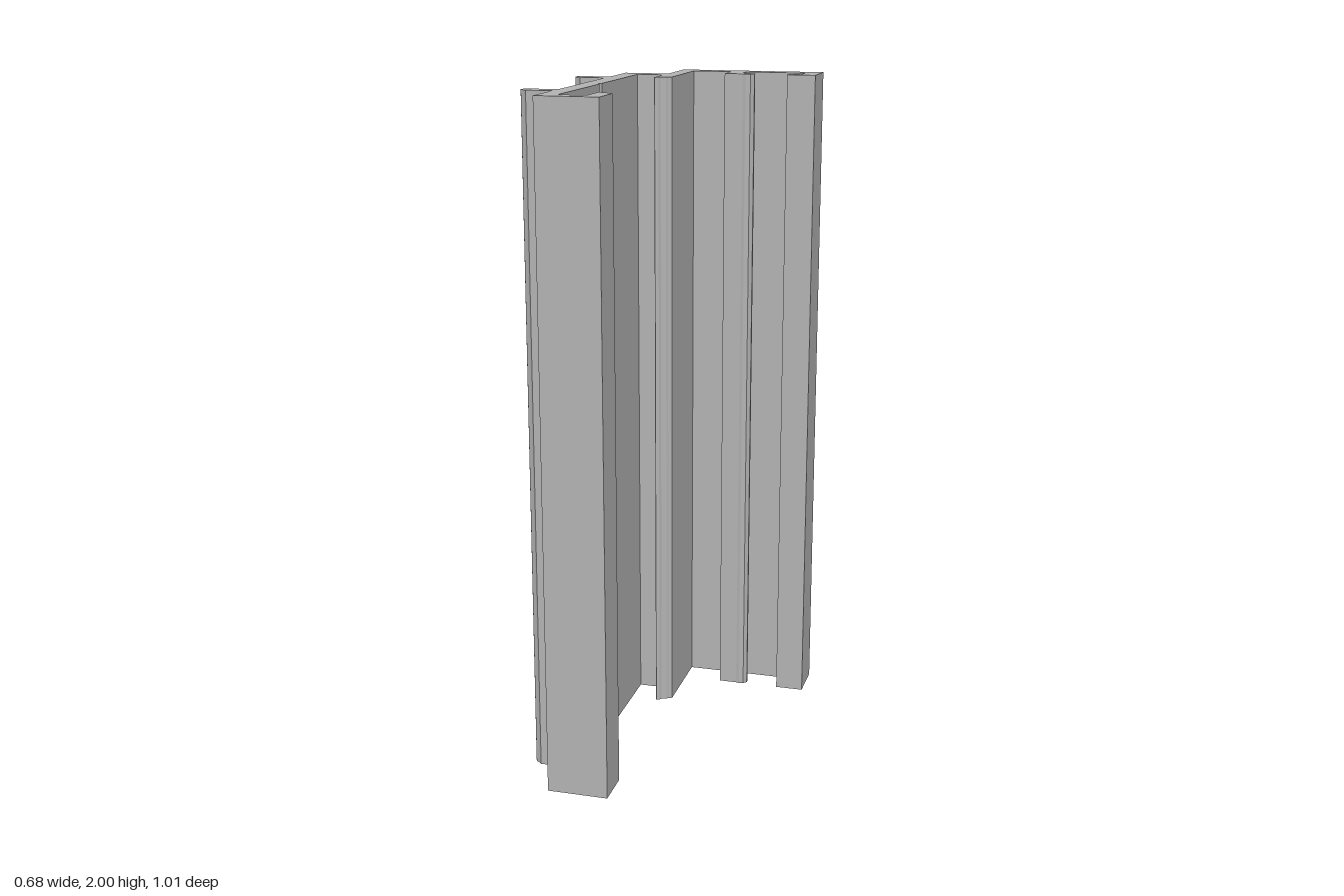
import * as THREE from 'three';

// Cross-section of the extruded bar as [x, z] points, split by region
const flangeAndClipSlot = [
  [-0.105, -0.506], [0.338, -0.506], [0.338, -0.375], [0.252, -0.375],
  [0.252, -0.4], [0.257, -0.405], [0.29, -0.405], [0.29, -0.455],
  [0.107, -0.455], [0.107, -0.405], [0.138, -0.405], [0.149, -0.396],
  [0.149, -0.386], [0.139, -0.375], [0.125, -0.372], [0.115, -0.375],
  [0.059, -0.375], [0.059, -0.455], [-0.059, -0.455],
];
const rearLip = [
  [-0.059, -0.202], [-0.07, -0.196], [-0.075, -0.191], [-0.09, -0.185],
  [-0.095, -0.179], [-0.105, -0.174], [-0.107, -0.177], [-0.107, -0.273],
];
const innerWall = [
  [-0.187, -0.273], [-0.187, 0.08], [-0.192, 0.086], [-0.192, 0.096],
  [-0.187, 0.1], [-0.187, 0.458],
];
const frontLip = [
  [-0.107, 0.458], [-0.107, 0.361], [-0.105, 0.359], [-0.095, 0.364],
  [-0.089, 0.369], [-0.075, 0.375], [-0.07, 0.381], [-0.059, 0.387],
  [-0.059, 0.504], [-0.24, 0.504],
];
// Outer rib with a rounded nose, centred on z
const rib = (z) => [
  [-0.24, z + 0.025], [-0.316, z + 0.025], [-0.322, z + 0.019],
  [-0.335, z + 0.011], [-0.34, z - 0.002], [-0.336, z - 0.021],
  [-0.327, z - 0.025], [-0.24, z - 0.025],
];
const rearStep = [[-0.24, -0.325], [-0.105, -0.325]];

export function createModel() {
  const metal = new THREE.MeshStandardMaterial({ color: 0xb2b2b2 });
  metal.name = 'grey metal';

  const outline = [
    ...flangeAndClipSlot, ...rearLip, ...innerWall, ...frontLip,
    ...rib(0.326), ...rib(-0.139), ...rearStep,
  ];
  const shape = new THREE.Shape(outline.map(([x, z]) => new THREE.Vector2(x, -z)));

  // Extrude the section upwards from the ground
  const geometry = new THREE.ExtrudeGeometry(shape, { depth: 2, bevelEnabled: false });
  geometry.rotateX(-Math.PI / 2);

  const profile = new THREE.Mesh(geometry, metal);
  profile.name = 'frameProfile';

  const group = new THREE.Group();
  group.name = 'extrudedFrameBar';
  group.add(profile);
  return group;
}
